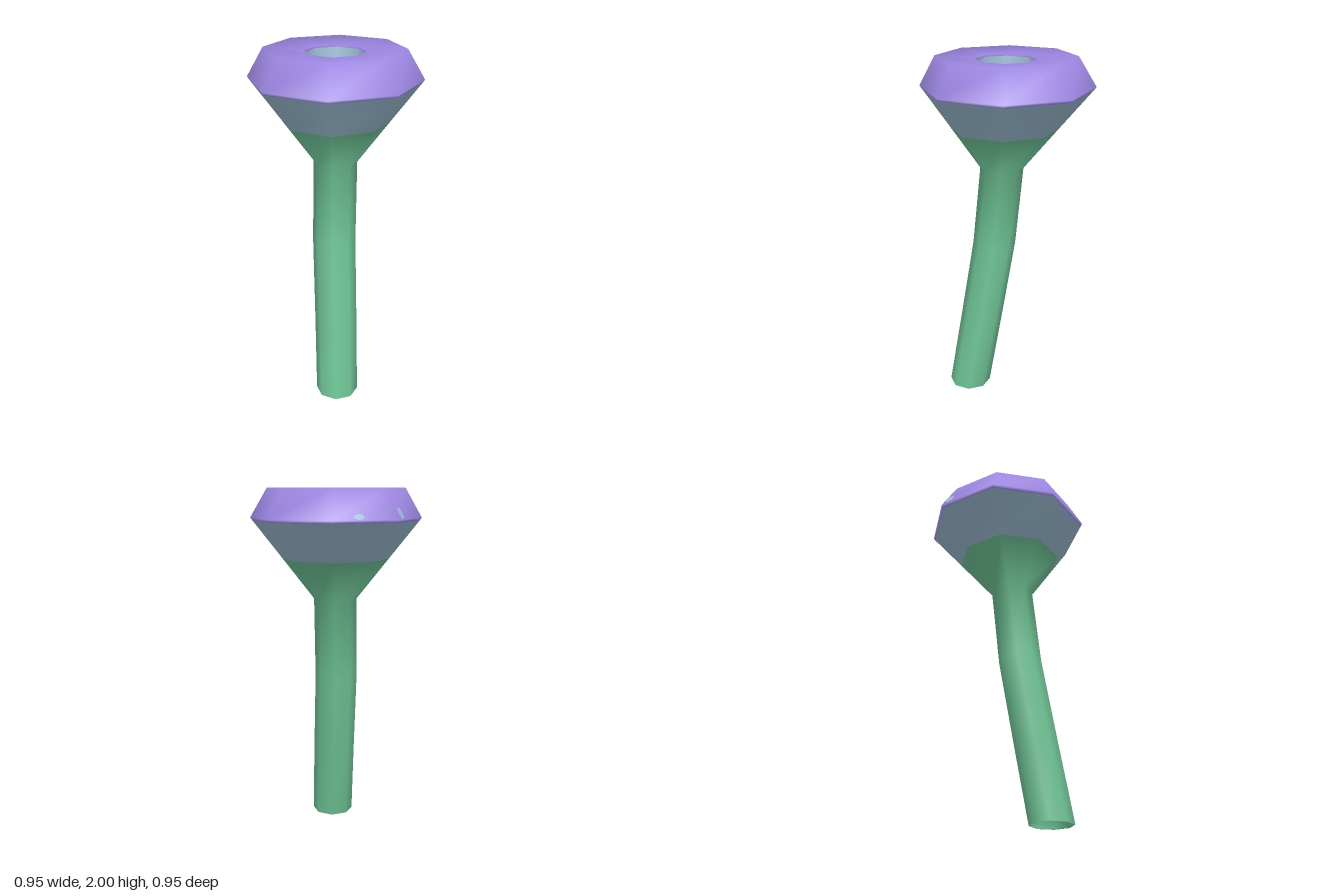
import * as THREE from 'three';

const SIDES = 8;

// Cross-sections [x, y, z, radius], following the skin from the hollow foot,
// up the outside, over the top and down into the cup
const RINGS = [
  [-0.135, 0.12, 0.17, 0],
  [-0.135, 0.12, 0.17, 0.112],
  [-0.145, 0, 0.185, 0.116],
  [-0.145, 0, 0.185, 0.122],
  [-0.1, 0.45, 0.122, 0.122],
  [-0.055, 0.93, 0.055, 0.122],
  [-0.02, 1.385, 0.025, 0.121],
  [-0.01, 1.615, 0.012, 0.3],
  [0, 1.825, 0, 0.464],
  [0, 1.84, 0, 0.475],
  [-0.005, 2, 0.003, 0.381],
  [-0.006, 1.985, 0.006, 0.167],
  [-0.007, 1.975, 0.007, 0.164],
  [-0.018, 1.62, 0.022, 0.13],
  [-0.02, 1.42, 0.028, 0.108],
  [-0.02, 1.38, 0.03, 0],
];

export function createModel() {
  const model = new THREE.Group();
  model.name = 'flower';
  const green = new THREE.MeshStandardMaterial({ name: 'stem green', color: 0x70c697 });
  const blue = new THREE.MeshStandardMaterial({ name: 'pale blue', color: 0x9dbfd5 });
  const purple = new THREE.MeshStandardMaterial({ name: 'petal purple', color: 0x9b85e0 });

  // Whole skin, so that smooth normals run across the colour bands
  const positions = [];
  for (const [x, y, z, r] of RINGS) {
    for (let i = 0; i < SIDES; i++) {
      const a = (i / SIDES) * Math.PI * 2;
      positions.push(x + r * Math.cos(a), y, z + r * Math.sin(a));
    }
  }
  const bandIndex = (from, to) => {
    const index = [];
    for (let k = from; k < to; k++) {
      for (let i = 0; i < SIDES; i++) {
        const j = (i + 1) % SIDES;
        const a = k * SIDES + i, b = k * SIDES + j;
        const c = a + SIDES, d = b + SIDES;
        index.push(a, c, b, b, c, d);
      }
    }
    return index;
  };
  const skin = new THREE.BufferGeometry();
  skin.setAttribute('position', new THREE.Float32BufferAttribute(positions, 3));
  skin.setIndex(bandIndex(0, RINGS.length - 1));
  skin.computeVertexNormals();

  // One mesh per colour band
  const addBand = (name, material, from, to) => {
    const geometry = new THREE.BufferGeometry();
    geometry.setAttribute('position', skin.getAttribute('position').clone());
    geometry.setAttribute('normal', skin.getAttribute('normal').clone());
    geometry.setIndex(bandIndex(from, to));
    const mesh = new THREE.Mesh(geometry, material);
    mesh.name = name;
    model.add(mesh);
  };
  addBand('stem', green, 0, 7);
  addBand('calyx', blue, 7, 8);
  addBand('petalRing', purple, 8, 12);
  addBand('cupWall', blue, 12, 13);
  addBand('cupFloor', green, 13, 15);

  // Small flecks on the back slope of the petal ring
  const addFleck = (x, y, z, side, width, height) => {
    const fleck = new THREE.Mesh(new THREE.CircleGeometry(1, 8), blue);
    const normal = new THREE.Vector3(side * 0.335, 0.482, -0.81).normalize();
    fleck.position.set(x, y, z).addScaledVector(normal, 0.004);
    fleck.lookAt(fleck.position.clone().add(normal));
    fleck.scale.set(width, height, 1);
    fleck.name = 'fleck';
    model.add(fleck);
  };
  addFleck(-0.04, 1.871, -0.44, -1, 0.028, 0.036);
  addFleck(0.2, 1.856, -0.384, 1, 0.03, 0.016);

  return model;
}
